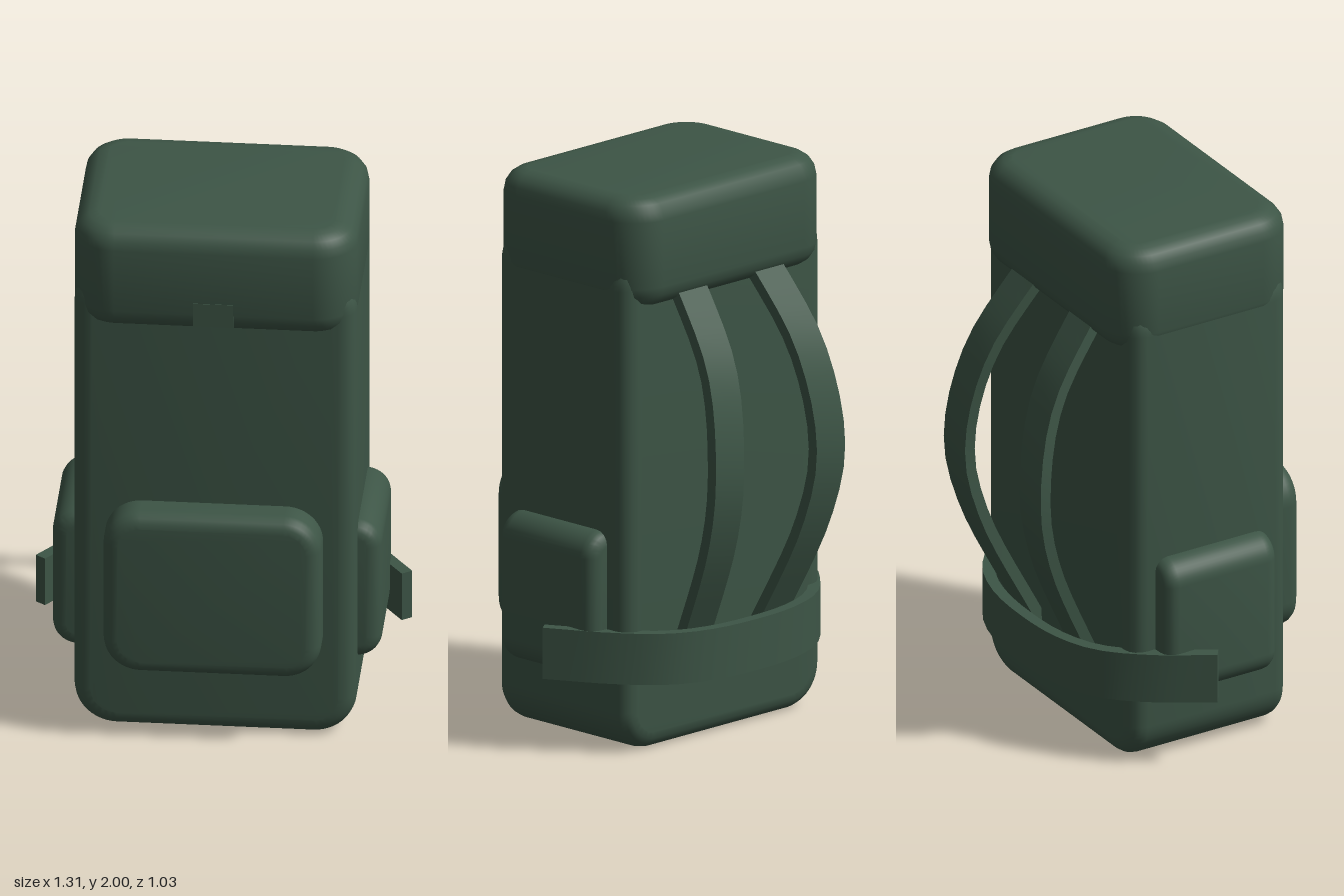
import * as THREE from 'three';
import { toCreasedNormals } from 'three/addons/utils/BufferGeometryUtils.js';

const CREASE = 0.6;

// Rounded rectangle extruded along z with soft bevels, centred on the origin
function roundedSlab(w, h, d, radius, bevel) {
  const x = w / 2 - bevel, y = h / 2 - bevel, r = radius - bevel;
  const s = new THREE.Shape();
  s.absarc(x - r, y - r, r, 0, Math.PI / 2);
  s.absarc(-x + r, y - r, r, Math.PI / 2, Math.PI);
  s.absarc(-x + r, -y + r, r, Math.PI, Math.PI * 1.5);
  s.absarc(x - r, -y + r, r, Math.PI * 1.5, Math.PI * 2);
  s.closePath();
  const g = new THREE.ExtrudeGeometry(s, {
    depth: d - 2 * bevel, bevelEnabled: true, bevelSize: bevel,
    bevelThickness: bevel, bevelSegments: 4, curveSegments: 6,
  });
  g.translate(0, 0, -(d - 2 * bevel) / 2);
  return toCreasedNormals(g, CREASE);
}

// Flat webbing with a rectangular section, swept along a smooth curve
function webbing(points, widthDir, width, thickness, steps) {
  const curve = new THREE.CatmullRomCurve3(points.map(p => new THREE.Vector3(...p)));
  const side = new THREE.Vector3(...widthDir);
  const pos = [], idx = [];
  for (let i = 0; i <= steps; i++) {
    const c = curve.getPointAt(i / steps);
    const n = new THREE.Vector3().crossVectors(curve.getTangentAt(i / steps), side).normalize();
    for (const [a, b] of [[-1, -1], [1, -1], [1, 1], [-1, 1]]) {
      const v = c.clone().addScaledVector(side, a * width / 2).addScaledVector(n, b * thickness / 2);
      pos.push(v.x, v.y, v.z);
    }
  }
  for (let i = 0; i < steps; i++) {
    for (let k = 0; k < 4; k++) {
      const a = i * 4 + k, b = i * 4 + (k + 1) % 4;
      idx.push(a, a + 4, b, b, a + 4, b + 4);
    }
  }
  const e = steps * 4;
  idx.push(0, 1, 2, 0, 2, 3, e, e + 2, e + 1, e, e + 3, e + 2);
  const g = new THREE.BufferGeometry();
  g.setAttribute('position', new THREE.Float32BufferAttribute(pos, 3));
  g.setIndex(idx);
  return toCreasedNormals(g, CREASE);
}

export function createModel() {
  const model = new THREE.Group();
  model.name = 'backpack';
  const canvas = new THREE.MeshStandardMaterial({ color: 0x3d5546, side: THREE.DoubleSide });
  canvas.name = 'dark green canvas';

  const add = (name, geometry, x = 0, y = 0, z = 0) => {
    const mesh = new THREE.Mesh(geometry, canvas);
    mesh.name = name;
    mesh.position.set(x, y, z);
    model.add(mesh);
    return mesh;
  };

  // Main bag
  add('body', roundedSlab(0.985, 1.82, 0.64, 0.15, 0.06), 0, 0.91, 0.08);

  // Lid, extruded upward
  const lid = roundedSlab(0.99, 0.725, 0.4, 0.15, 0.08);
  lid.rotateX(-Math.PI / 2);
  add('lid', lid, 0, 1.8, 0.0775);

  // Closing tab under the lid edge
  add('lidTab', new THREE.BoxGeometry(0.14, 0.09, 0.06), 0, 1.68, 0.412);

  // Pockets
  add('frontPocket', roundedSlab(0.76, 0.63, 0.2, 0.13, 0.05), 0, 0.595, 0.42);
  for (const [label, s] of [['left', 1], ['right', -1]]) {
    add(label + 'SidePocket', roundedSlab(0.25, 0.535, 0.46, 0.09, 0.05), s * 0.45, 0.5275, 0.08);

    // Shoulder strap, bowed outward and back
    add(label + 'ShoulderStrap', webbing([
      [s * 0.18, 1.7, -0.2], [s * 0.22, 1.37, -0.425], [s * 0.25, 1.03, -0.492],
      [s * 0.235, 0.77, -0.445], [s * 0.18, 0.32, -0.24],
    ], [1, 0, 0], 0.14, 0.04, 18));
  }

  // Hip belt wrapping the back, open toward the front
  add('hipBelt', webbing([
    [-0.64, 0.36, 0.015], [-0.5, 0.352, -0.18], [-0.36, 0.345, -0.305], [-0.2, 0.341, -0.362],
    [0, 0.34, -0.378],
    [0.2, 0.341, -0.362], [0.36, 0.345, -0.305], [0.5, 0.352, -0.18], [0.64, 0.36, 0.015],
  ], [0, 1, 0], 0.185, 0.042, 24));

  // Centre the depth on z = 0
  model.updateMatrixWorld(true);
  return model;
}
